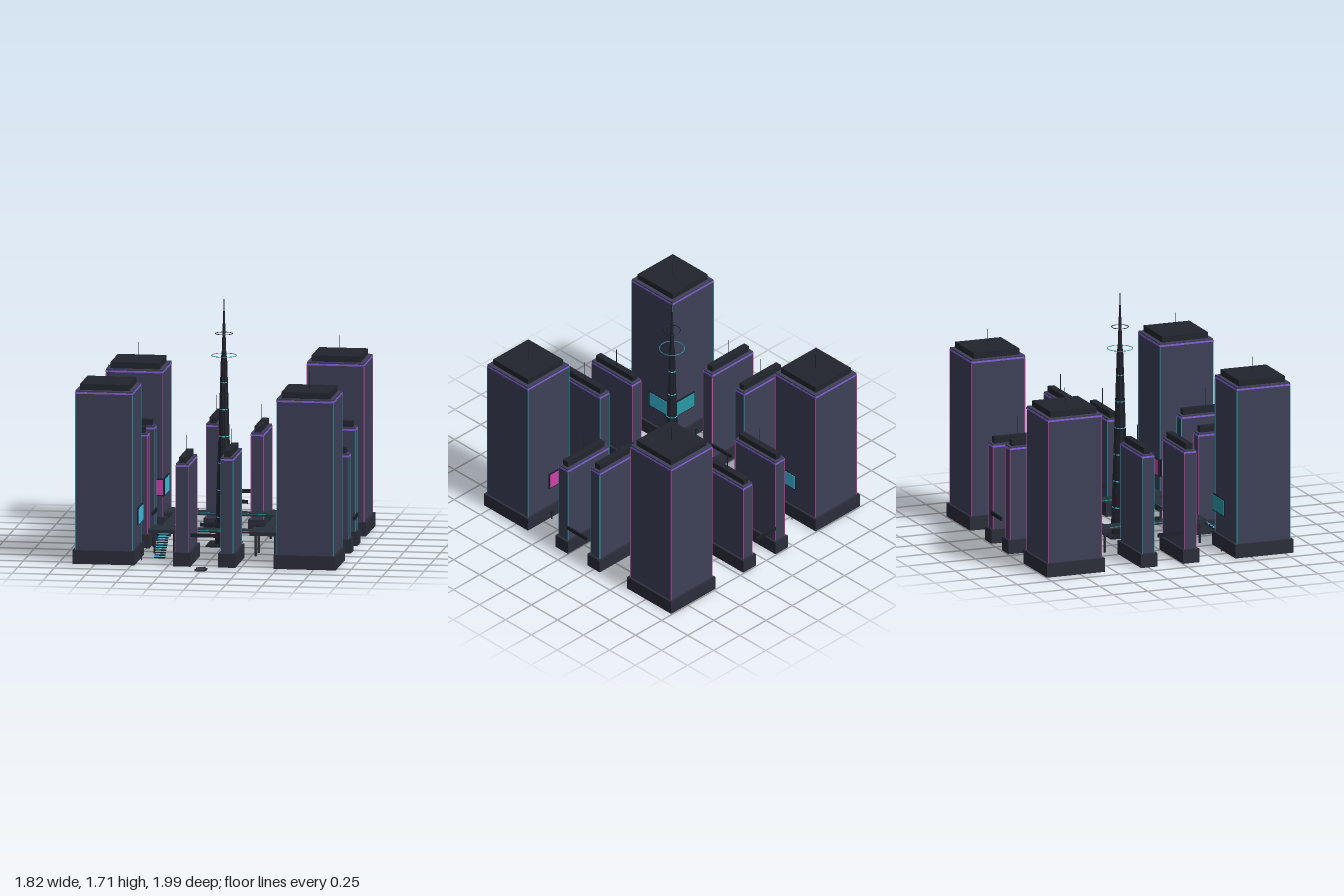
import * as THREE from 'three';

const mat = (color) => new THREE.MeshStandardMaterial({ color, flatShading: true });
const M = {
  base: mat(0x2b2d3a), body: mat(0x3d4058), cap: mat(0x22252e), deck: mat(0x28303a), dark: mat(0x1c2028),
  purple: mat(0x8a5fe0), cyan: mat(0x38bde0), teal: mat(0x2a98a8), pink: mat(0xd040a8),
};
const CZ = -0.09; // centre of the city block
const R = 0.69;   // distance of the outer buildings from that centre

function add(parent, name, geo, material, x, y, z) {
  const m = new THREE.Mesh(geo, material);
  m.name = name;
  m.position.set(x, y, z);
  parent.add(m);
  return m;
}
// box standing on y
const box = (p, name, m, w, h, d, x, y, z) => add(p, name, new THREE.BoxGeometry(w, h, d), m, x, y + h / 2, z);
const rod = (p, name, m, r, h, x, y, z) => add(p, name, new THREE.CylinderGeometry(r, r, h, 6), m, x, y + h / 2, z);

// plinth, shaft, glowing trim, roof block and antenna
function building(parent, name, x, z, w, d, height, neon, capInset, tip) {
  const g = new THREE.Group();
  g.name = name;
  g.position.set(x, 0, z);
  parent.add(g);
  const bw = w - 0.035, bd = d - 0.035;
  box(g, 'plinth', M.base, w, 0.095, d, 0, 0, 0);
  box(g, 'shaft', M.body, bw, height - 0.095, bd, 0, 0.095, 0);
  for (const s of [-1, 1]) {
    box(g, 'roofTrim', M.purple, bw + 0.006, 0.012, 0.004, 0, height - 0.022, s * bd / 2);
    box(g, 'roofTrim', M.purple, 0.004, 0.012, bd + 0.006, s * bw / 2, height - 0.022, 0);
    for (const t of [-1, 1])
      box(g, 'edgeLight', neon, 0.005, height - 0.12, 0.005, s * bw / 2, 0.095, t * bd / 2);
  }
  box(g, 'roofBlock', M.cap, bw - capInset, 0.042, bd - capInset, 0, height, 0);
  rod(g, 'antenna', M.dark, 0.0025, tip, 0, height + 0.04, 0);
  return g;
}

// framed sign on a wall; along is the axis it runs along
function sign(parent, x, z, along, m, out) {
  const g = new THREE.Group();
  g.name = 'billboard';
  g.position.set(x, 0.3, z);
  g.rotation.y = along === 'x' ? (out > 0 ? 0 : Math.PI) : out * Math.PI / 2;
  box(g, 'signFrame', M.dark, 0.21, 0.12, 0.01, 0, -0.06, 0);
  box(g, 'signPanel', m, 0.195, 0.105, 0.004, 0, -0.0525, 0.006);
  parent.add(g);
}

function spire(parent) {
  const g = new THREE.Group();
  g.name = 'centralSpire';
  const radius = (y) => 0.056 * (1 - y / 1.71) ** 0.9 + 0.001;
  box(g, 'spirePlatform', M.dark, 0.22, 0.01, 0.22, 0, 0, 0);
  const profile = [];
  for (let i = 0; i <= 9; i++) profile.push(new THREE.Vector2(radius(i * 0.19), i * 0.19));
  add(g, 'spireShaft', new THREE.LatheGeometry(profile, 12), M.cap, 0, 0, 0);
  // leaning ribs
  for (let i = 0; i < 8; i++) {
    const a = (i + 0.5) * Math.PI / 4;
    const at = (y, k) => new THREE.Vector3(Math.cos(a) * radius(y) * k, y, Math.sin(a) * radius(y) * k);
    const path = new THREE.LineCurve3(at(0, 1.04), at(1.3, 1.06));
    add(g, 'spireRib', new THREE.TubeGeometry(path, 1, 0.004, 4), M.dark, 0, 0, 0);
  }
  for (let i = 0; i < 6; i++) {
    const y = 0.195 + i * 0.185, r = radius(y) + 0.003;
    add(g, 'lightBand', new THREE.CylinderGeometry(r, r, 0.007, 24), M.cyan, 0, y, 0);
  }
  // floating halos
  for (const [y, r, m] of [[1.305, 0.085, M.teal], [1.455, 0.058, M.dark]])
    add(g, 'halo', new THREE.TorusGeometry(r, 0.0025, 6, 40), m, 0, y, 0).rotation.x = Math.PI / 2;
  g.position.z = CZ;
  parent.add(g);
}

function walkway(parent) {
  const g = new THREE.Group();
  g.name = 'raisedWalkway';
  const P = 0.347;
  for (const s of [-1, 1]) {
    box(g, 'walkwayDeck', M.deck, 0.5, 0.02, 0.08, 0, 0.148, s * P);
    box(g, 'walkwayDeck', M.deck, 0.08, 0.02, 0.5, s * P, 0.148, 0);
    for (const e of [-1, 1]) {
      box(g, 'deckEdgeLight', M.teal, 0.49, 0.005, 0.003, 0, 0.16, s * P + e * 0.04);
      box(g, 'deckEdgeLight', M.teal, 0.003, 0.005, 0.49, s * P + e * 0.04, 0.16, 0);
    }
    for (const t of [-1, 1]) {
      box(g, 'cornerDeck', M.deck, 0.205, 0.026, 0.205, s * P, 0.145, t * P);
      for (const a of [-1, 1]) for (const b of [-1, 1])
        rod(g, 'deckLeg', M.deck, 0.009, 0.147, s * P + a * 0.067, 0, t * P + b * 0.067);
    }
  }
  // two stairs with bright treads, on opposite corners
  for (const s of [-1, 1]) {
    const stair = new THREE.Group();
    stair.name = 'stair';
    const n = 10, step = 0.188 / n;
    for (let i = 0; i < n; i++) {
      const z = 0.45 + (i + 0.5) * step, y = 0.148 * (1 - (i + 1) / (n + 0.5));
      box(stair, 'step', M.dark, 0.076, 0.009, step, -P, y, z);
      box(stair, 'tread', M.cyan, 0.074, 0.002, step - 0.0005, -P, y + 0.009, z - 0.0003);
    }
    stair.rotation.y = s > 0 ? 0 : Math.PI;
    g.add(stair);
  }
  g.position.z = CZ;
  parent.add(g);
}

export function createModel() {
  const model = new THREE.Group();
  model.name = 'cityBlock';
  const city = new THREE.Group();
  city.name = 'buildings';
  city.position.z = CZ;
  model.add(city);

  // corner towers: x side, z side, height, edge light, sign colours
  const towers = [
    [-1, 1, 1.19, M.teal, M.cyan, M.teal], [1, 1, 1.168, M.teal, M.cyan, M.pink],
    [1, -1, 1.187, M.pink, M.cyan, M.cyan], [-1, -1, 1.105, M.pink, M.cyan, M.pink],
  ];
  for (const [sx, sz, h, neon, sideSign, innerSign] of towers) {
    building(city, 'cornerTower', sx * R, sz * R, 0.425, 0.425, h, neon, 0.055, 0.115);
    sign(city, sx * 0.486, sz * 0.6, 'z', sideSign, -sx);
    sign(city, sx * 0.59, sz * 0.486, 'x', innerSign, -sz);
    // street lamps beside the plinth
    for (const [x, z] of [[sx * 0.463, sz * R], [sx * R, sz * 0.463]]) {
      rod(city, 'streetLamp', M.dark, 0.004, 0.05, x, 0, z);
      box(city, 'lampHead', M.dark, 0.012, 0.012, 0.012, x, 0.048, z);
    }
  }

  // paired slabs on each side: offset sign, height, edge light
  const pairs = {
    front: [[-1, 0.705, M.pink], [1, 0.755, M.teal]],
    back: [[-1, 0.745, M.pink], [1, 0.69, M.pink]],
    right: [[1, 0.68, M.teal], [-1, 0.81, M.teal]],
    left: [[1, 0.787, M.pink], [-1, 0.785, M.teal]],
  };
  for (const [side, list] of Object.entries(pairs)) {
    const alongX = side === 'front' || side === 'back';
    const s = side === 'front' || side === 'right' ? 1 : -1;
    for (const [o, h, neon] of list) {
      const off = o * 0.154;
      if (alongX) building(city, side + 'Slab', off, s * R, 0.12, 0.425, h, neon, 0.04, 0.125);
      else building(city, side + 'Slab', s * R, off, 0.425, 0.12, h, neon, 0.04, 0.125);
    }
    // link beams between the two slabs, and a lamp
    for (const e of [-1, 1]) {
      const d = s * R + e * 0.213;
      if (alongX) box(city, 'linkBeam', M.dark, 0.186, 0.025, 0.012, 0, 0.205, d);
      else box(city, 'linkBeam', M.dark, 0.012, 0.025, 0.186, d, 0.205, 0);
    }
    const lx = alongX ? 0.16 : s * 0.463, lz = alongX ? s * 0.463 : 0.16;
    rod(city, 'streetLamp', M.dark, 0.004, 0.05, lx, 0, lz);
    box(city, 'lampHead', M.dark, 0.012, 0.012, 0.012, lx, 0.048, lz);
  }

  spire(model);
  walkway(model);

  // small landing craft in front
  const craft = new THREE.Group();
  craft.name = 'landingCraft';
  craft.position.z = 0.95;
  const hull = new THREE.CylinderGeometry(0.036, 0.05, 0.014, 4);
  hull.rotateY(Math.PI / 4);
  add(craft, 'hull', hull, M.base, 0, 0.013, 0);
  box(craft, 'underside', M.dark, 0.06, 0.006, 0.08, 0, 0, 0);
  for (const x of [-1, 1]) for (const z of [-1, 1])
    rod(craft, 'thruster', M.dark, 0.006, 0.012, x * 0.035, 0.002, z * 0.03);
  model.add(craft);
  return model;
}
